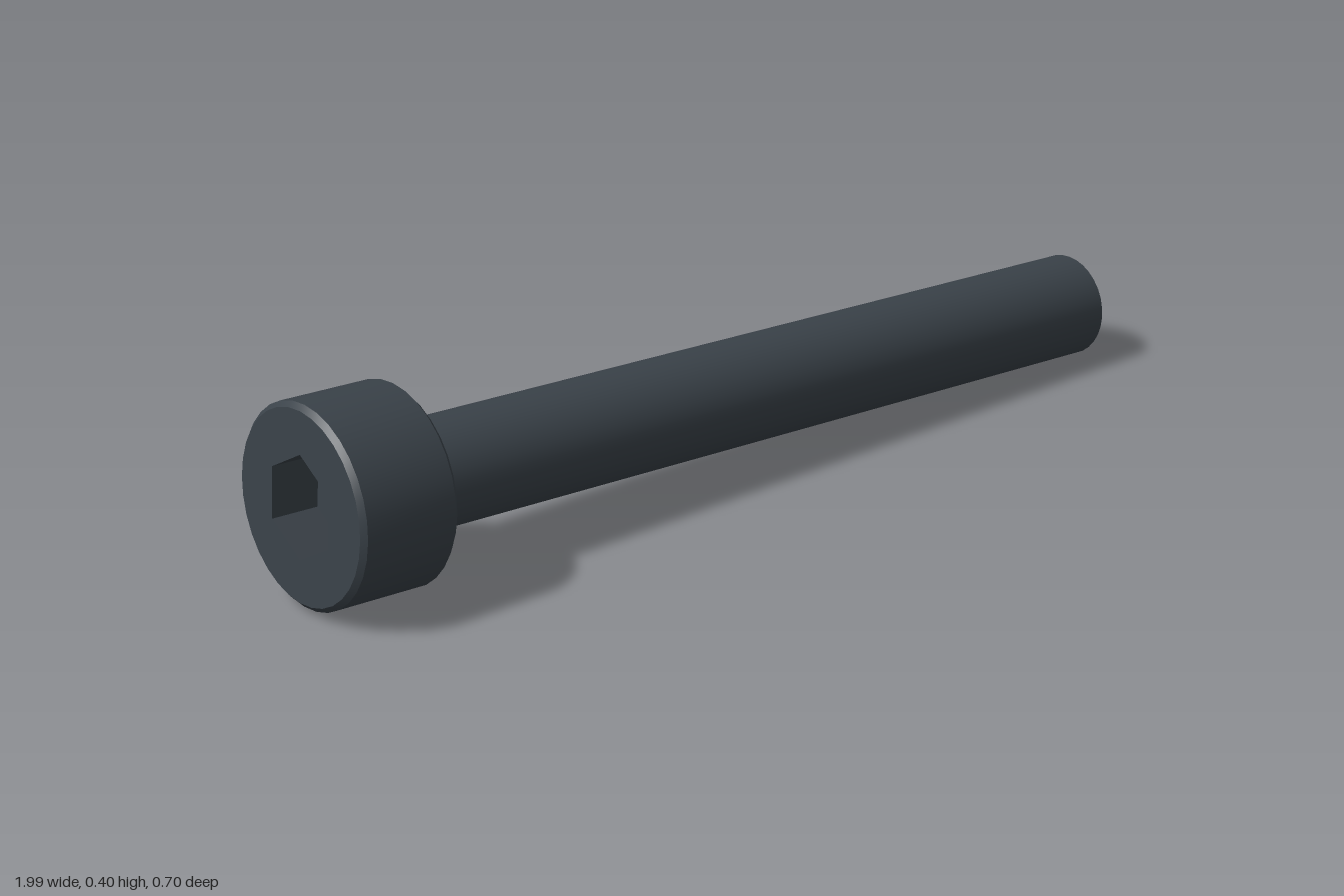
import * as THREE from 'three';
import { toCreasedNormals } from 'three/addons/utils/BufferGeometryUtils.js';

const SIDES = 32;
const HEAD_R = 0.195, HEAD_H = 0.212;
const SHAFT_R = 0.106, SHAFT_L = 1.77;
const HEX_R = 0.102, HEX_DEPTH = 0.1;
const BEVEL = 0.01, TIP_BEVEL = 0.019;

// Turned part from [radius, height] points, with crisp edges between sections
function turned(profile) {
  const points = profile.map(([r, y]) => new THREE.Vector2(r, y));
  return toCreasedNormals(new THREE.LatheGeometry(points, SIDES), 0.5);
}

export function createModel() {
  const steel = new THREE.MeshStandardMaterial({ color: 0x3a4249 });
  steel.name = 'dark steel';

  const bolt = new THREE.Group();
  bolt.name = 'socketHeadBolt';
  const add = (name, geometry, parent = bolt) => {
    const mesh = new THREE.Mesh(geometry, steel);
    mesh.name = name;
    parent.add(mesh);
  };

  // Shaft with chamfered tip; local y = 0 is the underside of the head
  add('shaft', turned([
    [0, -SHAFT_L],
    [SHAFT_R - TIP_BEVEL, -SHAFT_L],
    [SHAFT_R, -SHAFT_L + TIP_BEVEL],
    [SHAFT_R, 0],
  ]));

  // Head: underside ring, bevelled wall
  add('head', turned([
    [SHAFT_R, 0],
    [HEAD_R - BEVEL, 0],
    [HEAD_R, BEVEL],
    [HEAD_R, HEAD_H - BEVEL],
    [HEAD_R - BEVEL, HEAD_H],
  ]));

  // Head face with a hexagonal opening
  const ring = (r, n) => Array.from({ length: n }, (_, i) => {
    const a = Math.PI / 2 + (i / n) * Math.PI * 2;
    return new THREE.Vector2(r * Math.cos(a), r * Math.sin(a));
  });
  const face = new THREE.Shape(ring(HEAD_R - BEVEL, SIDES));
  face.holes.push(new THREE.Path(ring(HEX_R, 6).reverse()));
  add('headFace', new THREE.ShapeGeometry(face).rotateX(-Math.PI / 2).translate(0, HEAD_H, 0));

  // Hex socket: inward-facing walls and flat floor
  const socket = new THREE.Group();
  socket.name = 'hexSocket';
  bolt.add(socket);
  const walls = new THREE.CylinderGeometry(HEX_R, HEX_R, HEX_DEPTH, 6, 1, true)
    .toNonIndexed()
    .scale(-1, 1, 1)
    .translate(0, HEAD_H - HEX_DEPTH / 2, 0);
  walls.computeVertexNormals();
  add('socketWalls', walls, socket);
  add('socketFloor', new THREE.CircleGeometry(HEX_R, 6, Math.PI / 2)
    .rotateX(-Math.PI / 2)
    .translate(0, HEAD_H - HEX_DEPTH, 0), socket);

  // Lay the bolt down: local y points to the head, local z points upward
  const toHead = new THREE.Vector3(-0.977, 0.051, -0.208).normalize();
  const side = new THREE.Vector3().crossVectors(toHead, new THREE.Vector3(0, 1, 0)).normalize();
  const up = new THREE.Vector3().crossVectors(side, toHead);
  bolt.quaternion.setFromRotationMatrix(new THREE.Matrix4().makeBasis(side, toHead, up));
  bolt.position.set(-0.751, 0.195, -0.123);

  const model = new THREE.Group();
  model.name = 'bolt';
  model.add(bolt);
  return model;
}
